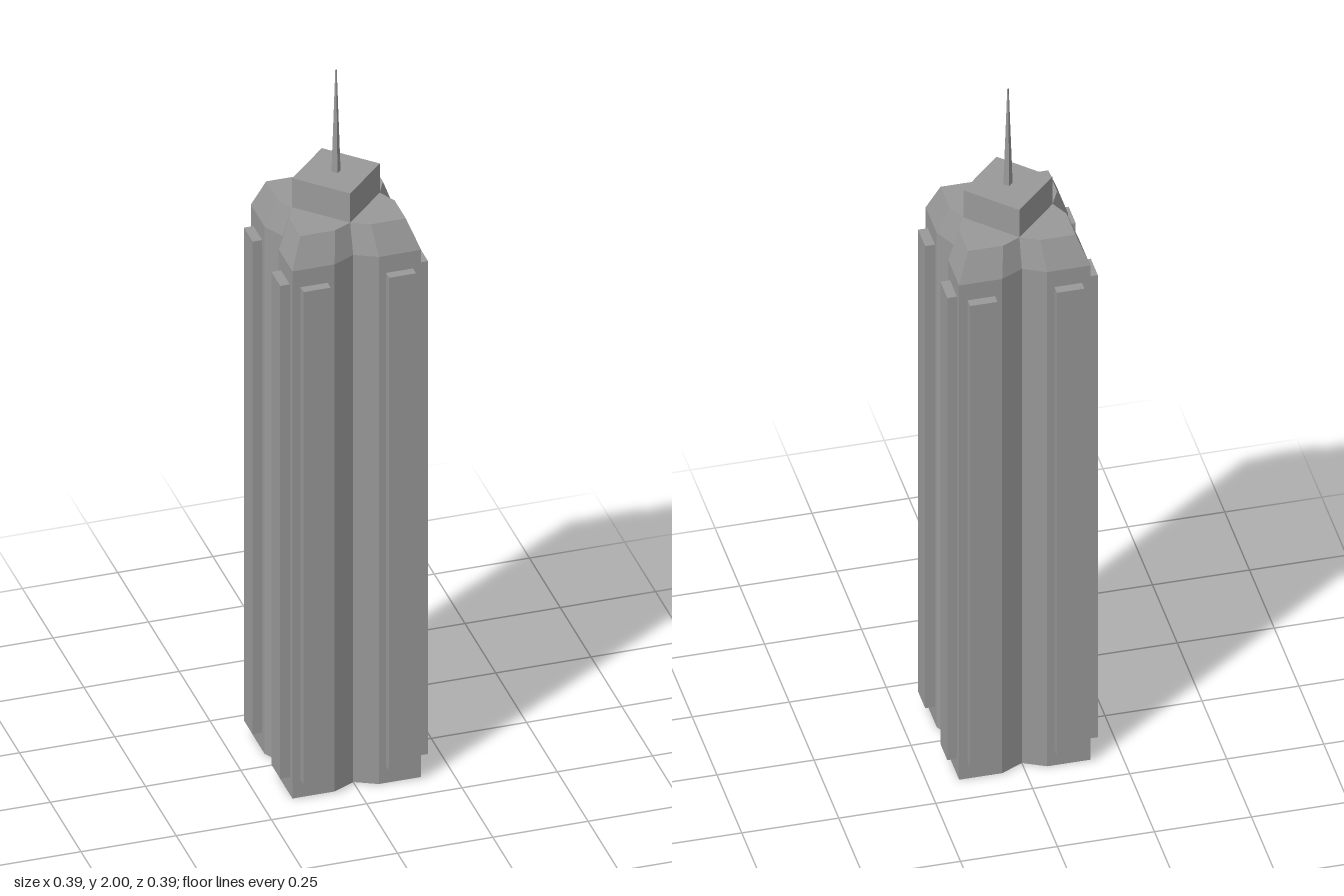
import * as THREE from 'three';

const stone = new THREE.MeshStandardMaterial({ color: 0x999999, flatShading: true });
const stoneShell = new THREE.MeshStandardMaterial({ color: 0x999999, flatShading: true, side: THREE.DoubleSide });

// Notched-square plan: one quarter, turned four times
function planOutline() {
  const points = [];
  let quarter = [[0.14, 0], [0.169, 0.058], [0.169, 0.169], [0.058, 0.169]];
  for (let q = 0; q < 4; q++) {
    points.push(...quarter);
    quarter = quarter.map(([x, z]) => [-z, x]);
  }
  return points;
}

// Walls through scaled copies of the plan, closed with a roof, open below
function towerGeometry(levels) {
  const plan = planOutline();
  const n = plan.length;
  const rings = levels.map(([y, s]) => plan.map(([x, z]) => [x * s, y, z * s]));
  const positions = [];
  const triangle = (a, b, c) => positions.push(...a, ...b, ...c);
  for (let r = 0; r < rings.length - 1; r++) {
    for (let i = 0; i < n; i++) {
      const j = (i + 1) % n;
      const low = rings[r], high = rings[r + 1];
      triangle(low[i], high[i], low[j]);
      triangle(low[j], high[i], high[j]);
    }
  }
  const top = rings[rings.length - 1];
  const centre = [0, top[0][1], 0];
  for (let i = 0; i < n; i++) triangle(centre, top[(i + 1) % n], top[i]);
  const geometry = new THREE.BufferGeometry();
  geometry.setAttribute('position', new THREE.Float32BufferAttribute(positions, 3));
  geometry.computeVertexNormals();
  return geometry;
}

export function createModel() {
  const model = new THREE.Group();
  model.name = 'skyscraper';
  const add = (name, geometry, material, x, y, z, parent = model) => {
    const mesh = new THREE.Mesh(geometry, material);
    mesh.name = name;
    mesh.position.set(x, y, z);
    parent.add(mesh);
  };

  // Tower shaft with sloped shoulders
  add('tower', towerGeometry([[0, 1], [1.54, 1], [1.62, 0.82]]), stoneShell, 0, 0, 0);

  // Two vertical ribs standing out from each side
  const ribGeometry = new THREE.BoxGeometry(0.071, 1.44, 0.028);
  for (let side = 0; side < 4; side++) {
    const ribs = new THREE.Group();
    ribs.name = 'ribPair';
    ribs.rotation.y = side * Math.PI / 2;
    for (const x of [-0.112, 0.112]) add('rib', ribGeometry, stone, x, 0.77, 0.18, ribs);
    model.add(ribs);
  }

  // Diamond-set penthouse and four-sided spire with a blunt tip
  add('penthouse', new THREE.CylinderGeometry(0.115, 0.115, 0.085, 4), stone, 0, 1.6625, 0);
  add('spire', new THREE.CylinderGeometry(0.002, 0.012, 0.295, 4), stone, 0, 1.8525, 0);

  return model;
}
